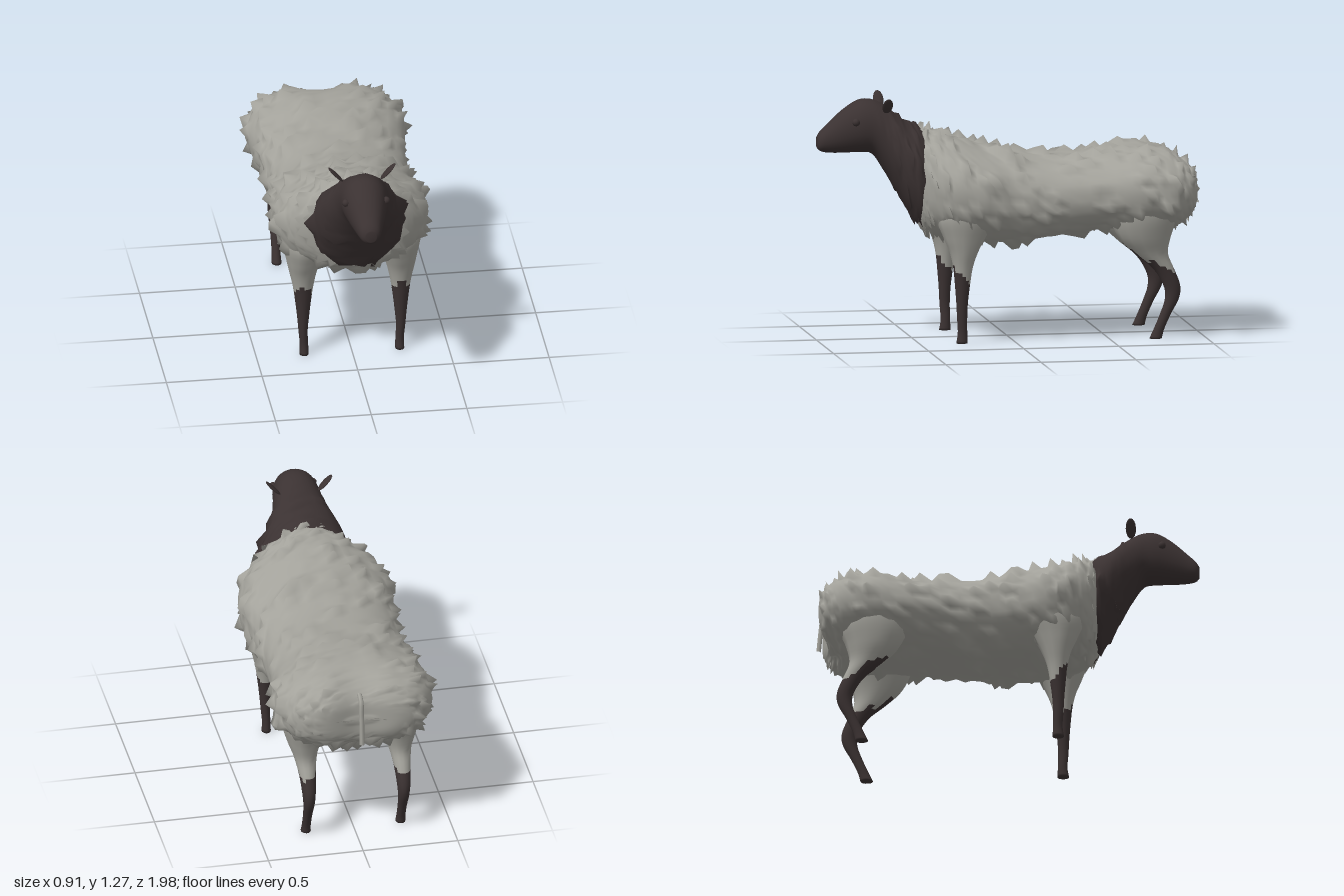
import * as THREE from 'three';

const wool = new THREE.MeshStandardMaterial({ color: 0xa3a29b });
wool.name = 'grey wool';
const skin = new THREE.MeshStandardMaterial({ color: 0x3b3232 });
skin.name = 'dark brown skin';

// Repeatable value in 0..1 for a pair of grid numbers
function hash(i, j) {
  const s = Math.sin(i * 127.1 + j * 311.7) * 43758.5453;
  return s - Math.floor(s);
}

// Smooth skin through keys [cx, cy, cz, halfX, halfOther], running towards +z or +y.
// shape(point, direction, i, j) moves a vertex; isDark(centre, i, j) picks the colour of a quad.
function loft(name, keys, { axis = 'z', rings = 20, segs = 16, power = 2, shape, isDark }) {
  const spline = new THREE.CubicInterpolant(keys.map((k, i) => i), keys.flat(), 5);
  const points = [], faces = [[], []];
  const bend = (v) => Math.sign(v) * Math.pow(Math.abs(v), 2 / power);
  for (let i = 0; i <= rings; i++) {
    const [cx, cy, cz, rx, ro] = [...spline.evaluate((i / rings) * (keys.length - 1))];
    for (let j = 0; j < segs; j++) {
      const a = (j / segs) * Math.PI * 2;
      const c = bend(Math.cos(a)), s = bend(Math.sin(a));
      const dir = axis === 'z' ? new THREE.Vector3(c, s, 0) : new THREE.Vector3(s, 0, c);
      const size = axis === 'z' ? new THREE.Vector3(rx, ro, 0) : new THREE.Vector3(rx, 0, ro);
      const p = new THREE.Vector3(cx, cy, cz).add(size.multiply(dir));
      if (shape) shape(p, dir, i, j);
      points.push(p);
    }
  }
  for (let i = 0; i < rings; i++) {
    for (let j = 0; j < segs; j++) {
      const k = (j + 1) % segs;
      const a = i * segs + j, b = i * segs + k, c = a + segs, d = b + segs;
      const centre = points[a].clone().add(points[d]).multiplyScalar(0.5);
      faces[isDark && isDark(centre, i, j) ? 1 : 0].push(a, b, d, a, d, c);
    }
  }
  // End caps
  for (const end of [0, rings]) {
    const centre = new THREE.Vector3();
    for (let j = 0; j < segs; j++) centre.addScaledVector(points[end * segs + j], 1 / segs);
    const m = points.push(centre) - 1;
    const list = faces[isDark && isDark(centre, end, 0) ? 1 : 0];
    for (let j = 0; j < segs; j++) {
      const a = end * segs + j, b = end * segs + ((j + 1) % segs);
      if (end === 0) list.push(m, b, a);
      else list.push(m, a, b);
    }
  }
  const geo = new THREE.BufferGeometry().setFromPoints(points);
  geo.setIndex([...faces[0], ...faces[1]]);
  geo.addGroup(0, faces[0].length, 0);
  geo.addGroup(faces[0].length, faces[1].length, 1);
  geo.computeVertexNormals();
  const mesh = new THREE.Mesh(geo, [wool, skin]);
  mesh.name = name;
  return mesh;
}

// Shaggy surface: nearly smooth, with scattered pointed tufts swept backwards
function shaggy(p, dir, i, j, amount) {
  const h = hash(i, j);
  const tuft = h > 0.94 ? 0.042 : h > 0.86 ? 0.018 : 0;
  p.addScaledVector(dir, amount * (tuft + 0.007 * (hash(j, i + 50) - 0.5)));
  p.z -= amount * tuft * 0.3;
}

function makeBody() {
  const keys = [
    [0, 0.765, -0.972, 0.09, 0.04], [0, 0.765, -0.968, 0.21, 0.1],
    [0, 0.765, -0.942, 0.3, 0.15], [0, 0.765, -0.885, 0.365, 0.192],
    [0, 0.765, -0.8, 0.405, 0.217], [0, 0.77, -0.65, 0.41, 0.214],
    [0, 0.755, -0.45, 0.378, 0.2], [0, 0.735, -0.2, 0.37, 0.212],
    [0, 0.737, 0, 0.375, 0.235], [0, 0.765, 0.18, 0.402, 0.255],
    [0, 0.795, 0.32, 0.39, 0.268], [0, 0.823, 0.41, 0.33, 0.266],
    [0, 0.843, 0.465, 0.26, 0.25], [0, 0.86, 0.49, 0.19, 0.2],
  ];
  return loft('woollyBody', keys, {
    rings: 66, segs: 52, power: 2.25,
    shape(p, dir, i, j) {
      // Shoulders slope in towards the neck
      const front = THREE.MathUtils.smoothstep(p.z, 0, 0.35);
      if (dir.y > 0) p.x *= 1 - 0.3 * front * dir.y * dir.y;
      // Groove between the two sides of the rump
      const back = THREE.MathUtils.smoothstep(-p.z, 0.7, 0.95);
      const mid = Math.exp(-((p.x / 0.13) ** 2));
      p.z += 0.045 * back * mid;
      if (dir.y > 0) p.y -= 0.03 * back * mid;
      shaggy(p, dir, i, j, THREE.MathUtils.smoothstep(i, 3, 11));
    },
  });
}

function makeHead() {
  const keys = [
    [0, 0.85, 0.42, 0.19, 0.22], [0, 0.858, 0.475, 0.235, 0.255],
    [0, 0.91, 0.53, 0.225, 0.225], [0, 0.985, 0.59, 0.185, 0.197],
    [0, 1.058, 0.65, 0.145, 0.17], [0, 1.113, 0.71, 0.125, 0.142],
    [0, 1.118, 0.78, 0.115, 0.136], [0, 1.093, 0.86, 0.093, 0.113],
    [0, 1.058, 0.94, 0.066, 0.076], [0, 1.043, 0.98, 0.05, 0.052],
    [0, 1.038, 0.998, 0.028, 0.03],
  ];
  return loft('neckAndHead', keys, {
    rings: 40, segs: 26, power: 2.1,
    isDark: () => true,
    shape(p, dir, i, j) {
      // Throat wool is rough, the face is smooth
      const rough = 1 - THREE.MathUtils.smoothstep(p.z, 0.6, 0.7);
      shaggy(p, dir, i, j, rough * (dir.y < 0.4 ? 1 : 0.3));
    },
  });
}

// Legs widen upwards and melt into the body; the dark sock is higher at the front
function makeLeg(name, side, keys, sockHeight, slope) {
  return loft(name, keys.map(([x, ...rest]) => [x * side, ...rest]), {
    axis: 'y', rings: 40, segs: 14,
    isDark: (c, i, j) => c.y < sockHeight + slope * (c.z - keys[5][2]) + 0.03 * (hash(j, side) - 0.5),
  });
}

const frontLegKeys = [
  [0.25, 0.003, 0.28, 0.024, 0.03], [0.25, 0.06, 0.277, 0.022, 0.025],
  [0.255, 0.14, 0.28, 0.024, 0.027], [0.255, 0.22, 0.28, 0.031, 0.031],
  [0.255, 0.31, 0.278, 0.041, 0.04], [0.255, 0.4, 0.275, 0.054, 0.052],
  [0.255, 0.48, 0.27, 0.072, 0.075], [0.25, 0.56, 0.265, 0.094, 0.113],
  [0.235, 0.67, 0.25, 0.13, 0.16], [0.2, 0.8, 0.23, 0.16, 0.12],
];
const hindLegKeys = [
  [0.25, 0.003, -0.738, 0.026, 0.033], [0.25, 0.05, -0.755, 0.023, 0.028],
  [0.25, 0.13, -0.79, 0.024, 0.029], [0.25, 0.21, -0.824, 0.029, 0.037],
  [0.25, 0.28, -0.823, 0.035, 0.044], [0.25, 0.37, -0.778, 0.044, 0.055],
  [0.25, 0.45, -0.715, 0.062, 0.088], [0.25, 0.54, -0.68, 0.095, 0.14],
  [0.235, 0.66, -0.68, 0.135, 0.18], [0.2, 0.8, -0.68, 0.16, 0.15],
];

export function createModel() {
  const sheep = new THREE.Group();
  sheep.name = 'sheep';
  sheep.add(makeBody(), makeHead());

  for (const side of [1, -1]) {
    const label = side > 0 ? 'left' : 'right';
    sheep.add(makeLeg(label + 'FrontLeg', side, frontLegKeys, 0.345, 1.1));
    sheep.add(makeLeg(label + 'HindLeg', side, hindLegKeys, 0.375, 0.5));

    // Leaf-shaped ear pointing up and out
    const ear = new THREE.Mesh(new THREE.SphereGeometry(1, 10, 8), skin);
    ear.name = label + 'Ear';
    ear.scale.set(0.008, 0.056, 0.028);
    ear.position.set(0.137 * side, 1.235, 0.65);
    ear.rotation.z = -0.75 * side;
    sheep.add(ear);

    const eye = new THREE.Mesh(new THREE.SphereGeometry(0.02, 10, 8), skin);
    eye.name = label + 'Eye';
    eye.position.set(0.105 * side, 1.15, 0.81);
    sheep.add(eye);
  }

  // Thin hanging tail
  const path = new THREE.CatmullRomCurve3([
    new THREE.Vector3(0, 0.89, -0.9), new THREE.Vector3(0, 0.87, -0.945),
    new THREE.Vector3(0, 0.78, -0.96), new THREE.Vector3(0, 0.63, -0.975),
  ]);
  const tail = new THREE.Mesh(new THREE.TubeGeometry(path, 12, 0.013, 6), wool);
  tail.name = 'tail';
  sheep.add(tail);

  return sheep;
}
